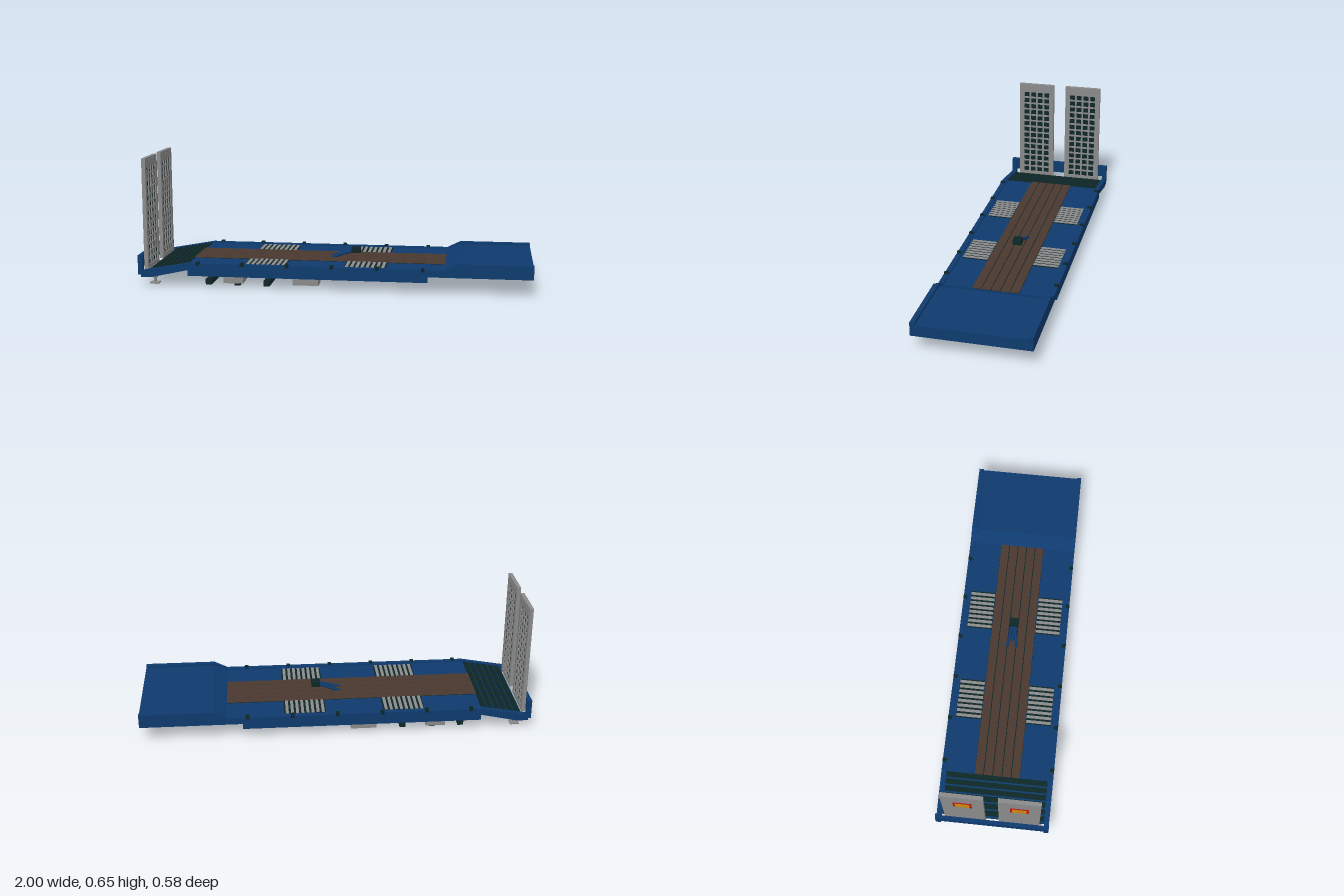
import * as THREE from 'three';

const mat = (name, color) => {
  const m = new THREE.MeshStandardMaterial({ color });
  m.name = name;
  return m;
};

export function createModel() {
  const blue = mat('blue paint', 0x0e3a6e), grey = mat('grey metal', 0x8a8a8a);
  const dark = mat('dark steel', 0x0e2626), wood = mat('wood', 0x4a382f);
  const red = mat('red border', 0xb81414), amber = mat('amber plate', 0xc88a10);
  const model = new THREE.Group();
  model.name = 'lowbedTrailer';

  const add = (name, geo, m, parent = model) => {
    const mesh = new THREE.Mesh(geo, m);
    mesh.name = name;
    parent.add(mesh);
    return mesh;
  };
  // Box given by its limits on each axis
  const box = (name, m, x0, x1, y0, y1, z0, z1, parent) => {
    const g = new THREE.BoxGeometry(x1 - x0, y1 - y0, z1 - z0);
    g.translate((x0 + x1) / 2, (y0 + y1) / 2, (z0 + z1) / 2);
    return add(name, g, m, parent);
  };
  // Side profile in x and y, swept across z
  const profile = (name, m, pts, z0, z1) => {
    const shape = new THREE.Shape(pts.map(p => new THREE.Vector2(...p)));
    const g = new THREE.ExtrudeGeometry(shape, { depth: z1 - z0, bevelEnabled: false });
    g.translate(0, 0, z0);
    return add(name, g, m);
  };
  // Square bar between two points
  const bar = (name, m, a, b, r) => {
    const path = new THREE.LineCurve3(new THREE.Vector3(...a), new THREE.Vector3(...b));
    return add(name, new THREE.TubeGeometry(path, 1, r, 6), m);
  };

  // Main deck, rising to the raised front platform
  profile('deck', blue, [
    [-0.955, 0.06], [-0.74, 0.1], [0.56, 0.1], [0.63, 0.127], [0.98, 0.127],
    [0.98, 0.147], [0.63, 0.147], [0.56, 0.118], [-0.74, 0.118], [-0.955, 0.078],
  ], -0.266, 0.266);
  box('frontWall', blue, 0.98, 1, 0.09, 0.147, -0.266, 0.266);
  box('rearBeam', blue, -1, -0.982, 0.095, 0.16, -0.29, 0.29);
  box('neckCrossWall', blue, 0.47, 0.49, 0.09, 0.101, -0.266, 0.266);

  // Undersides
  box('deckUnderside', dark, -0.74, 0.42, 0.093, 0.1, -0.262, 0.262);
  profile('slopeUnderside', dark, [[-0.955, 0.053], [-0.74, 0.093], [-0.74, 0.1], [-0.955, 0.06]], -0.262, 0.262);

  // Rails, skirts and tie-down lugs on both sides
  for (const s of [-1, 1]) {
    const lo = s > 0 ? 0.265 : -0.29, hi = lo + 0.025;
    profile('sideRail', blue, [
      [-0.985, 0.048], [-0.93, 0.048], [-0.74, 0.09], [1, 0.09], [1, 0.16],
      [0.63, 0.16], [0.56, 0.125], [-0.74, 0.125], [-0.985, 0.08],
    ], lo, hi);
    box('rearRailPost', blue, -1, -0.975, 0.06, 0.16, lo, hi);
    box('skirt', blue, -0.74, 0.48, 0.06, 0.09, lo + 0.002, hi - 0.002);
    for (let i = 0; i < 6; i++) {
      const x = -0.687 + i * 0.2285;
      box('lug', dark, x - 0.009, x + 0.009, 0.115, 0.133, s * 0.28 - 0.0105, s * 0.28 + 0.0105);
    }
  }

  // Timber planks over a dark bed
  box('plankBed', dark, -0.745, 0.56, 0.112, 0.1195, -0.118, 0.118);
  for (let i = -2; i <= 2; i++)
    box('plank', wood, -0.745, 0.56, 0.113, 0.122, i * 0.0475 - 0.0215, i * 0.0475 + 0.0215);

  // Wheel gratings
  for (const s of [-1, 1]) for (const x0 of [-0.445, 0.062]) {
    const z0 = s > 0 ? 0.12 : -0.25, z1 = z0 + 0.13;
    box('gratingBed', dark, x0 - 0.006, x0 + 0.206, 0.112, 0.1195, z0, z1);
    for (let i = 0; i < 8; i++)
      box('gratingBar', grey, x0 + i * 0.0262, x0 + i * 0.0262 + 0.015, 0.113, 0.123, z0, z1);
  }

  // Grip slats on the rear slope
  for (let i = 0; i < 6; i++) {
    const slat = add('slopeSlat', new THREE.BoxGeometry(0.028, 0.008, 0.525), dark);
    const x = -0.934 + i * 0.0352;
    slat.position.set(x, 0.079 + (x + 0.955) * 0.186, 0);
    slat.rotation.z = 0.184;
  }

  // Raised coupling rest on two arms
  box('couplingBlock', dark, 0.07, 0.115, 0.145, 0.173, -0.023, 0.023);
  for (const s of [-1, 1])
    bar('couplingArm', blue, [-0.035, 0.12, s * 0.025], [0.085, 0.158, s * 0.007], 0.008);
  bar('couplingBrace', blue, [-0.005, 0.126, 0], [0.08, 0.152, 0], 0.006);

  // Chassis ladder below the deck
  for (const s of [-1, 1])
    box('chassisBeam', blue, -0.72, 0.42, 0.057, 0.093, s * 0.105 - 0.015, s * 0.105 + 0.015);
  box('centreBeam', blue, -0.2, 0.45, 0.063, 0.093, -0.016, 0.016);
  for (let i = 0; i < 8; i++) {
    const x = -0.68 + i * 0.153;
    box('crossMember', blue, x - 0.011, x + 0.011, 0.065, 0.092, -0.262, 0.262);
  }
  box('axleHanger', blue, -0.545, -0.465, 0.035, 0.093, -0.035, 0.035);

  // Axles
  for (const x of [-0.645, -0.495, -0.342])
    box('axle', dark, x - 0.015, x + 0.015, 0.004, 0.034, -0.235, 0.235);

  // Storage boxes and rear support feet
  for (const s of [-1, 1]) {
    const z0 = s > 0 ? 0.18 : -0.257, z1 = z0 + 0.077;
    box('frontStorageBox', grey, -0.203, -0.072, 0.02, 0.093, z0, z1);
    box('rearStorageBox', grey, -0.56, -0.46, 0.02, 0.07, z0, z1);
    box('rearStorageLid', grey, -0.553, -0.467, 0.07, 0.093, z0 + 0.004, z1 - 0.004);
    const leg = add('supportLeg', new THREE.CylinderGeometry(0.008, 0.008, 0.055, 10), grey);
    leg.position.set(-0.928, 0.036, s * 0.23);
    const collar = add('supportCollar', new THREE.CylinderGeometry(0.014, 0.014, 0.02, 10), grey);
    collar.position.set(-0.928, 0.044, s * 0.23);
    box('supportFoot', grey, -0.951, -0.905, 0.003, 0.011, s * 0.23 - 0.019, s * 0.23 + 0.019);
  }

  // Upright ramps: grille facing forward, plain back with a warning plate
  const grille = new THREE.Shape();
  const rect = (path, a, b, c, d) => path.moveTo(a, c).lineTo(b, c).lineTo(b, d).lineTo(a, d).closePath();
  rect(grille, -0.1025, 0.1025, 0.075, 0.652);
  for (let c = 0; c < 4; c++) for (let r = 0; r < 14; r++) {
    const u = -0.075 + c * 0.04, v = 0.574 - r * 0.0367;
    grille.holes.push(rect(new THREE.Path(), u, u + 0.03, v, v + 0.028));
  }
  const grilleGeo = new THREE.ExtrudeGeometry(grille, { depth: 0.009, bevelEnabled: false });
  grilleGeo.rotateY(Math.PI / 2).translate(-0.97, 0, 0);
  for (const s of [-1, 1]) {
    const ramp = new THREE.Group();
    ramp.name = 'ramp';
    ramp.position.z = s * 0.1375;
    model.add(ramp);
    add('rampGrille', grilleGeo, grey, ramp);
    box('rampInset', dark, -0.973, -0.967, 0.085, 0.608, -0.082, 0.082, ramp);
    box('rampBack', grey, -0.981, -0.97, 0.075, 0.652, -0.1025, 0.1025, ramp);
    box('rampTopPlate', grey, -0.962, -0.9595, 0.611, 0.639, -0.086, 0.086, ramp);
    box('warningBorder', red, -0.984, -0.98, 0.446, 0.536, -0.045, 0.045, ramp);
    box('warningPlate', amber, -0.986, -0.983, 0.457, 0.525, -0.035, 0.035, ramp);
  }
  return model;
}
